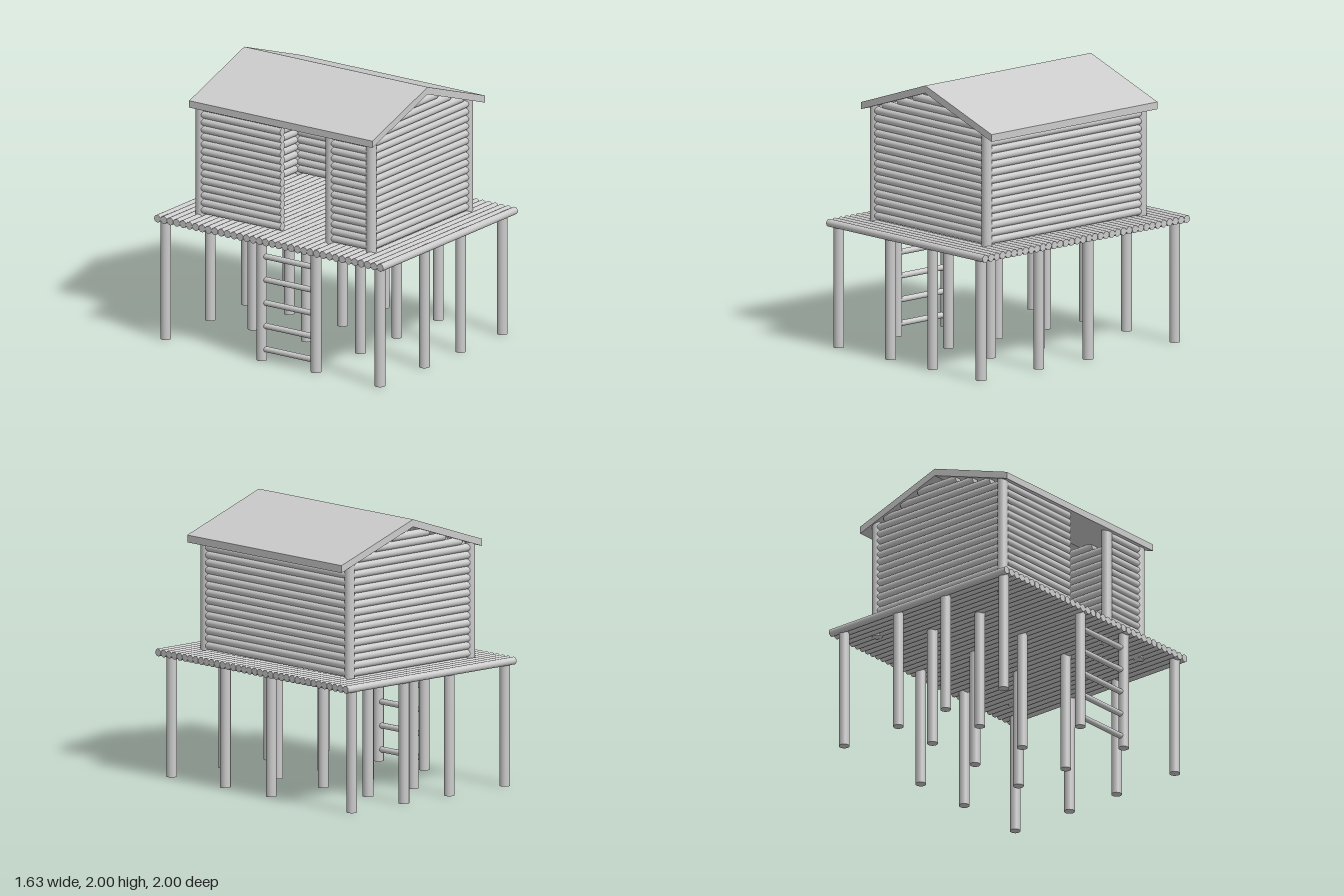
import * as THREE from 'three';

const material = new THREE.MeshStandardMaterial({ color: 0xcccccc });

// Round log between two points
function log(name, radius, from, to) {
  const a = new THREE.Vector3(...from), b = new THREE.Vector3(...to);
  const dir = b.clone().sub(a);
  const mesh = new THREE.Mesh(new THREE.CylinderGeometry(radius, radius, dir.length(), 20), material);
  mesh.position.copy(a).add(b).multiplyScalar(0.5);
  mesh.quaternion.setFromUnitVectors(new THREE.Vector3(0, 1, 0), dir.normalize());
  mesh.name = name;
  return mesh;
}

function group(name, parent) {
  const g = new THREE.Group();
  g.name = name;
  parent.add(g);
  return g;
}

export function createModel() {
  const model = new THREE.Group();
  model.name = 'stiltCabin';

  // Stilts: outer columns skip the fourth row
  const stilts = group('stilts', model);
  const columns = [-0.76, -0.22, 0.22, 0.725];
  const rows = [0.93, 0.372, -0.102, -0.567, -0.94];
  columns.forEach((x, c) => rows.forEach((z, r) => {
    if (r === 3 && (c === 0 || c === 3)) return;
    stilts.add(log('stilt', 0.038, [x, 0, z], [x, 0.915, z]));
  }));

  // Ladder rungs between two stilts
  const ladder = group('ladder', model);
  for (let i = 0; i < 5; i++) {
    const y = 0.085 + i * 0.1725;
    ladder.add(log('rung', 0.021, [-0.76, y, -0.1], [-0.76, y, 0.37]));
  }

  // Deck of logs laid side to side
  const deck = group('deck', model);
  for (let i = 0; i < 36; i++) {
    const z = -0.9725 + (i * 1.945) / 35;
    deck.add(log('deckLog', 0.0275, [-0.817, 0.9, z], [0.817, 0.9, z]));
  }

  // Corner posts and door post
  const left = 0.575, right = -0.594, front = 0.735, back = -0.755;
  const posts = group('posts', model);
  for (const x of [left, right])
    for (const z of [front, back])
      posts.add(log('cornerPost', 0.037, [x, 0.873, z], [x, 1.757, z]));
  posts.add(log('doorPost', 0.037, [right, 0.873, 0.38], [right, 1.757, 0.38]));

  // Log walls; end walls taper into the gable under the roof
  const walls = group('walls', model);
  const r = 0.0285;
  for (let i = 0; i < 18; i++) {
    const y = 0.957 + i * 0.0545;
    const half = (1.945 - y) / 0.345;
    const x0 = Math.max(right, -half), x1 = Math.min(left, half);
    walls.add(log('frontWallLog', r, [x0, y, front], [x1, y, front]));
    walls.add(log('backWallLog', r, [x0, y, back], [x1, y, back]));
    if (i < 15) {
      walls.add(log('sideWallLog', r, [left, y, back], [left, y, front]));
      // doorway gap on this side
      walls.add(log('doorWallLog', r, [right, y, back], [right, y, -0.04]));
      walls.add(log('doorWallLog', r, [right, y, 0.38], [right, y, front]));
    }
  }

  // Gable roof
  const profile = new THREE.Shape([
    [0, 2], [-0.67, 1.773], [-0.67, 1.722], [0, 1.946], [0.695, 1.703], [0.695, 1.756],
  ].map(([x, y]) => new THREE.Vector2(x, y)));
  const roof = new THREE.Mesh(
    new THREE.ExtrudeGeometry(profile, { depth: 1.6, bevelEnabled: false }), material);
  roof.position.z = -0.8;
  roof.name = 'roof';
  model.add(roof);

  return model;
}
